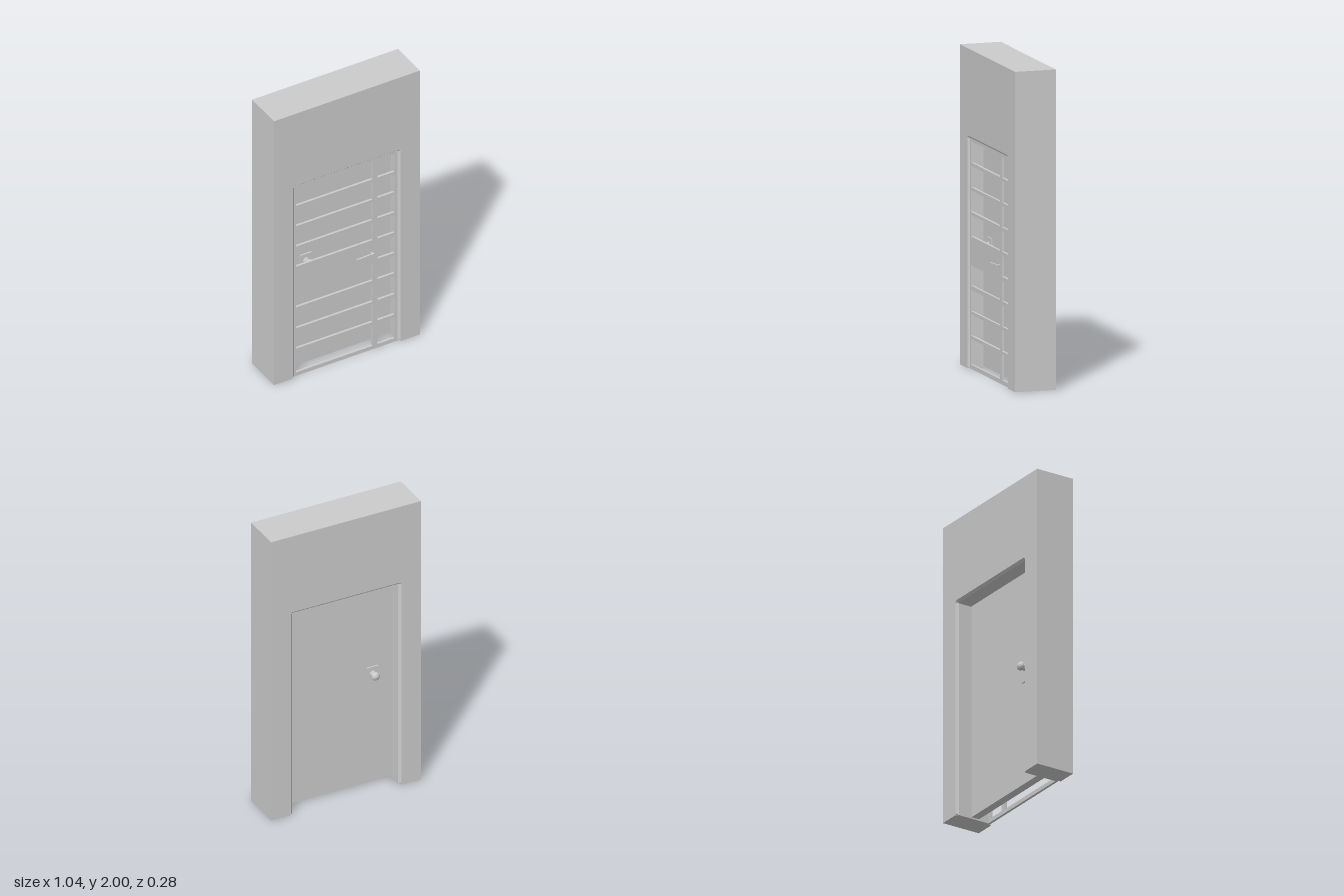
import * as THREE from 'three';

const material = new THREE.MeshStandardMaterial({ color: 0xcccccc, flatShading: true });
const smooth = new THREE.MeshStandardMaterial({ color: 0xcccccc });

const BACK = -0.14, FRONT = 0.125;   // wall faces
const HALF = 0.385, HEAD = 1.455;    // doorway opening
const LIP = 0.015;                   // chamfered lining

function add(parent, name, geometry, x = 0, y = 0, z = 0, mat = material) {
  const mesh = new THREE.Mesh(geometry, mat);
  mesh.name = name;
  mesh.position.set(x, y, z);
  parent.add(mesh);
  return mesh;
}

function polygon(points) {
  return new THREE.Shape(points.map(([x, y]) => new THREE.Vector2(x, y)));
}

// Upside-down U: an outer rectangle with a doorway whose top corners are clipped
function archShape(outerX, outerY, innerX, innerY, base, clip) {
  return polygon([
    [-outerX, base], [-innerX, base], [-innerX, innerY - clip], [-innerX + clip, innerY],
    [innerX - clip, innerY], [innerX, innerY - clip], [innerX, base],
    [outerX, base], [outerX, outerY], [-outerX, outerY],
  ]);
}

function rectHole(x0, x1, y0, y1) {
  const hole = new THREE.Path();
  hole.moveTo(x0, y0);
  hole.lineTo(x0, y1);
  hole.lineTo(x1, y1);
  hole.lineTo(x1, y0);
  hole.closePath();
  return hole;
}

// Plate, rose, stem and ball knob, facing +z from its origin
function makeKnob(name) {
  const knob = new THREE.Group();
  knob.name = name;
  add(knob, 'knobPlate', new THREE.BoxGeometry(0.08, 0.14, 0.01), 0, 0, 0.005);
  const profile = [
    [0, 0.008], [0.024, 0.008], [0.024, 0.014], [0.012, 0.018], [0.011, 0.026],
    [0.02, 0.03], [0.027, 0.038], [0.028, 0.046], [0.024, 0.056], [0.014, 0.063], [0, 0.066],
  ].map(([r, h]) => new THREE.Vector2(r, h));
  const ball = add(knob, 'knobBall', new THREE.LatheGeometry(profile, 24), 0, 0.022, 0, smooth);
  ball.rotation.x = Math.PI / 2;
  return knob;
}

export function createModel() {
  const model = new THREE.Group();
  model.name = 'doorInWall';

  // Wall block with the doorway
  const wall = new THREE.ExtrudeGeometry(archShape(0.522, 2, HALF, HEAD, 0, 0.012),
    { depth: FRONT - BACK, bevelEnabled: false });
  add(model, 'wall', wall, 0, 0, BACK);

  // Lining inside the doorway, chamfered towards both wall faces
  const lining = new THREE.ExtrudeGeometry(archShape(HALF + 0.02, HEAD + 0.02, HALF, HEAD, LIP, 0.012), {
    depth: FRONT - BACK - 2 * LIP - 0.002,
    bevelEnabled: true, bevelSize: LIP, bevelThickness: LIP, bevelSegments: 1,
  });
  add(model, 'doorLining', lining, 0, 0, BACK + LIP + 0.001);

  // Solid door leaf, set back in the doorway
  const doorFront = 0.025, doorBack = -0.03;
  add(model, 'doorLeaf', new THREE.BoxGeometry(0.742, 1.43, doorFront - doorBack),
    0, 0.725, (doorFront + doorBack) / 2);

  // Front grille: wide openings on one side, narrow ones on the other
  const rows = [
    [0.027, 0.186], [0.207, 0.34], [0.361, 0.493], [0.52, 0.647], [0.674, 0.8],
    [0.828, 0.96], [0.981, 1.114], [1.135, 1.268], [1.289, 1.42],
  ];
  const grilleShape = polygon([[-0.371, 0], [0.371, 0], [0.371, 1.441], [-0.371, 1.441]]);
  rows.forEach(([y0, y1], i) => {
    if (i !== 4) grilleShape.holes.push(rectHole(-0.355, 0.19, y0, y1)); // lock panel stays solid
    grilleShape.holes.push(rectHole(0.227, 0.347, y0, y1));
  });
  add(model, 'grille', new THREE.ExtrudeGeometry(grilleShape, { depth: 0.016, bevelEnabled: false }),
    0, 0, 0.095);

  // Knobs on both faces of the leaf
  const frontKnob = makeKnob('frontKnob');
  frontKnob.position.set(-0.24, 0.765, doorFront);
  const backKnob = makeKnob('backKnob');
  backKnob.position.set(-0.24, 0.765, doorBack);
  backKnob.rotation.y = Math.PI;
  model.add(frontKnob, backKnob);

  // Lever handle on the grille, tapering towards its free end
  const handle = new THREE.Group();
  handle.name = 'leverHandle';
  const lever = polygon([
    [0.065, 0.733], [0.1, 0.73], [0.192, 0.728], [0.192, 0.743], [0.1, 0.74], [0.065, 0.739],
  ]);
  add(handle, 'lever', new THREE.ExtrudeGeometry(lever, { depth: 0.011, bevelEnabled: false }), 0, 0, 0.127);
  const stem = add(handle, 'leverStem', new THREE.CylinderGeometry(0.007, 0.007, 0.022, 12), 0.183, 0.7355, 0.119, smooth);
  stem.rotation.x = Math.PI / 2;
  model.add(handle);

  return model;
}
